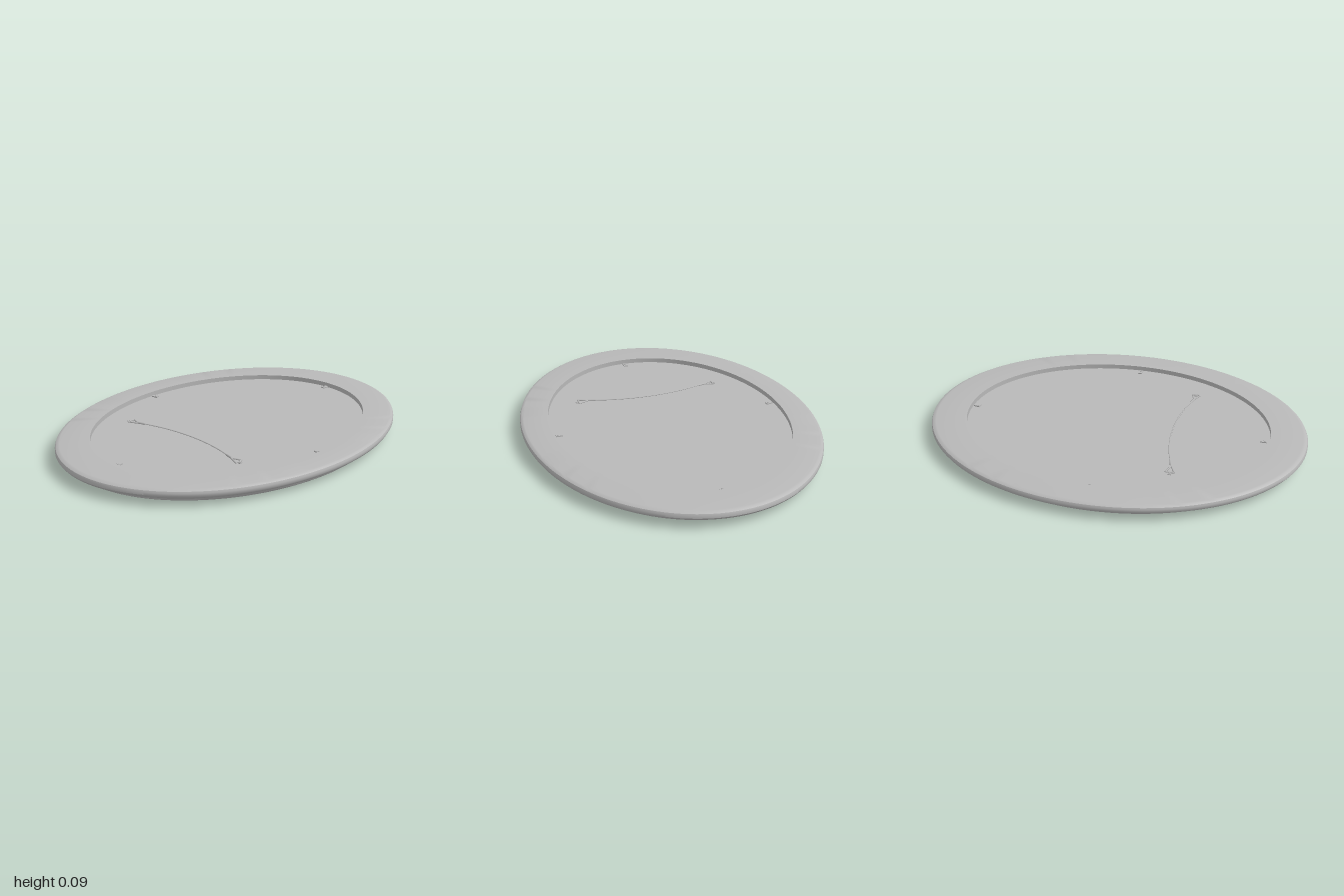
import * as THREE from 'three';
import { toCreasedNormals, mergeGeometries } from 'three/addons/utils/BufferGeometryUtils.js';

const ASPECT = 0.765; // oval width relative to its length

export function createModel() {
  const group = new THREE.Group();
  group.name = 'ovalFrame';
  const grey = new THREE.MeshStandardMaterial({ color: 0xb8b8b8 });
  grey.name = 'plain grey';

  const add = (name, geo, parent = group) => {
    const mesh = new THREE.Mesh(geo, grey);
    mesh.name = name;
    parent.add(mesh);
    return mesh;
  };
  // Oval ring or disc from a profile of [radius, height] points
  const oval = (name, pts) => {
    const geo = new THREE.LatheGeometry(pts.map(([r, y]) => new THREE.Vector2(r, y)), 144);
    geo.scale(ASPECT, 1, 1);
    add(name, toCreasedNormals(geo, 0.6));
  };
  const tube = (pts, radius, segments, closed = false) => new THREE.TubeGeometry(
    new THREE.CatmullRomCurve3(pts, closed, 'catmullrom', closed ? 0.1 : 0.5), segments, radius, 6, closed);
  const ellipsoid = (rx, ry, rz, angle, p) => {
    const geo = new THREE.SphereGeometry(1, 10, 8);
    geo.scale(rx, ry, rz);
    geo.rotateY(angle);
    return geo.translate(p.x, p.y, p.z);
  };

  // Moulding: inner lip, sunken panel, raised rim, rounded side, flat back and rebate
  oval('moulding', [
    [0.63, 0.044], [0.63, 0.039], [0.69, 0.036], [0.705, 0.024], [0.72, 0.012], [0.73, 0.008],
    [0.74, 0.009], [0.745, 0.017], [0.765, 0.017], [0.768, 0.011], [0.775, 0.01], [0.78, 0.014],
    [0.783, 0.02], [0.9, 0.02], [0.904, 0.01], [0.912, 0.005], [0.925, 0.004], [0.932, 0.009],
    [0.935, 0.018], [0.945, 0.027], [0.958, 0.032], [0.978, 0.037], [0.992, 0.045], [1, 0.056],
    [1, 0.068], [0.996, 0.077], [0.985, 0.083], [0.975, 0.085], [0.81, 0.085], [0.81, 0.06],
  ]);
  oval('picture', [[0, 0.042], [0.635, 0.042]]);
  oval('backBoard', [[0.812, 0.06], [0, 0.06]]);

  // Fine beading in the groove around the inner lip
  const beads = [];
  for (let i = 0; i < 150; i++) {
    const a = (i / 150) * Math.PI * 2;
    const geo = new THREE.SphereGeometry(0.0085, 6, 4);
    beads.push(geo.translate(0.755 * ASPECT * Math.cos(a), 0.017, 0.755 * Math.sin(a)));
  }
  add('beading', mergeGeometries(beads));

  // Carved ornaments at the four ends of the axes: a flower with scrolls and leaves
  for (let k = 0; k < 4; k++) {
    const a0 = (k * Math.PI) / 2;
    const speed = 0.84 * (k % 2 ? ASPECT : 1);
    // u runs along the oval, v runs outwards
    const at = (u, v, y) => {
      const a = a0 + u / speed, r = 0.84 + v;
      return new THREE.Vector3(r * ASPECT * Math.cos(a), y, r * Math.sin(a));
    };
    const heading = (u, v, turn) => {
      const d = at(u + Math.cos(turn) * 0.01, v + Math.sin(turn) * 0.01, 0).sub(at(u, v, 0));
      return Math.atan2(-d.z, d.x);
    };
    const leaf = (u, v, turn, length, width) =>
      ellipsoid(length, 0.012, width, heading(u, v, turn), at(u, v, 0.018));
    const parts = [];

    // Flower
    for (let i = 0; i < 6; i++) {
      const a = (i / 6) * Math.PI * 2;
      parts.push(leaf(Math.cos(a) * 0.029, Math.sin(a) * 0.029, a, 0.021, 0.014));
    }
    parts.push(ellipsoid(0.014, 0.016, 0.014, 0, at(0, 0, 0.016)));

    for (const s of [-1, 1]) {
      // Long wavy stem
      const stem = [];
      for (let i = 0; i <= 10; i++) {
        const u = 0.04 + i * 0.03;
        stem.push(at(s * u, 0.026 * Math.sin((u - 0.04) * 21), 0.016));
      }
      parts.push(tube(stem, 0.007, 40));
      // Curled scrolls
      for (const [cu, cv, dir, size] of [[0.1, -0.012, 1, 0.034], [0.185, 0.016, -1, 0.03], [0.26, -0.01, 1, 0.024]]) {
        const curl = [];
        for (let i = 0; i <= 14; i++) {
          const a = i * 0.62, r = size * (1 - i / 18);
          curl.push(at(s * (cu - r * Math.cos(a)), cv + dir * r * Math.sin(a), 0.016));
        }
        parts.push(tube(curl, 0.0065, 36));
        parts.push(ellipsoid(0.01, 0.013, 0.01, 0, at(s * cu, cv, 0.016)));
      }
      // Leaves
      for (const [u, v, turn, length] of [
        [0.065, 0.035, 0.6, 0.026], [0.07, -0.042, -0.5, 0.02], [0.135, 0.036, 0.3, 0.024],
        [0.15, -0.032, -0.5, 0.026], [0.22, -0.034, -0.3, 0.022], [0.235, 0.034, 0.4, 0.022],
        [0.295, 0.018, 0.3, 0.024], [0.34, -0.006, -0.1, 0.026]]) {
        parts.push(leaf(s * u, v, s > 0 ? turn : Math.PI - turn, length, 0.009));
      }
    }
    add('carvedOrnament', mergeGeometries(parts));
  }

  // Turn buttons holding the back board
  for (const [x, z, turn] of [[0.005, -0.785, -0.2], [0, 0.775, 0], [-0.59, 0.008, 1.8], [0.588, 0, 1.5]]) {
    const button = new THREE.Group();
    button.name = 'turnButton';
    button.position.set(x, 0.06, z);
    button.rotation.y = turn;
    add('buttonPlate', new THREE.BoxGeometry(0.022, 0.006, 0.034).translate(0, 0.006, 0), button);
    add('buttonScrew', new THREE.CylinderGeometry(0.006, 0.006, 0.012, 10).translate(0, 0.006, 0.006), button);
    group.add(button);
  }

  // Hanging wire with a triangular ring, knot and strap at each end
  const V = (x, y, z) => new THREE.Vector3(x, y, z);
  add('hangingWire', tube([-0.335, -0.22, -0.11, 0, 0.11, 0.22, 0.335].map(
    (x) => V(x, 0.07, 0.3 + 0.055 * (x / 0.335) ** 2)), 0.003, 48));
  for (const s of [-1, 1]) {
    add('hangerRing', tube([V(s * 0.34, 0.068, 0.357), V(s * 0.367, 0.068, 0.347), V(s * 0.394, 0.068, 0.338),
      V(s * 0.394, 0.068, 0.36), V(s * 0.394, 0.068, 0.382), V(s * 0.367, 0.068, 0.37)], 0.004, 48, true));
    add('wireKnot', tube([V(s * 0.3, 0.07, 0.345), V(s * 0.318, 0.07, 0.35), V(s * 0.342, 0.07, 0.357)], 0.006, 8));
    add('hangerStrap', new THREE.BoxGeometry(0.03, 0.004, 0.018).translate(s * 0.395, 0.064, 0.36));
    add('strapScrew', new THREE.CylinderGeometry(0.005, 0.005, 0.008, 10).translate(s * 0.403, 0.066, 0.36));
  }
  return group;
}
